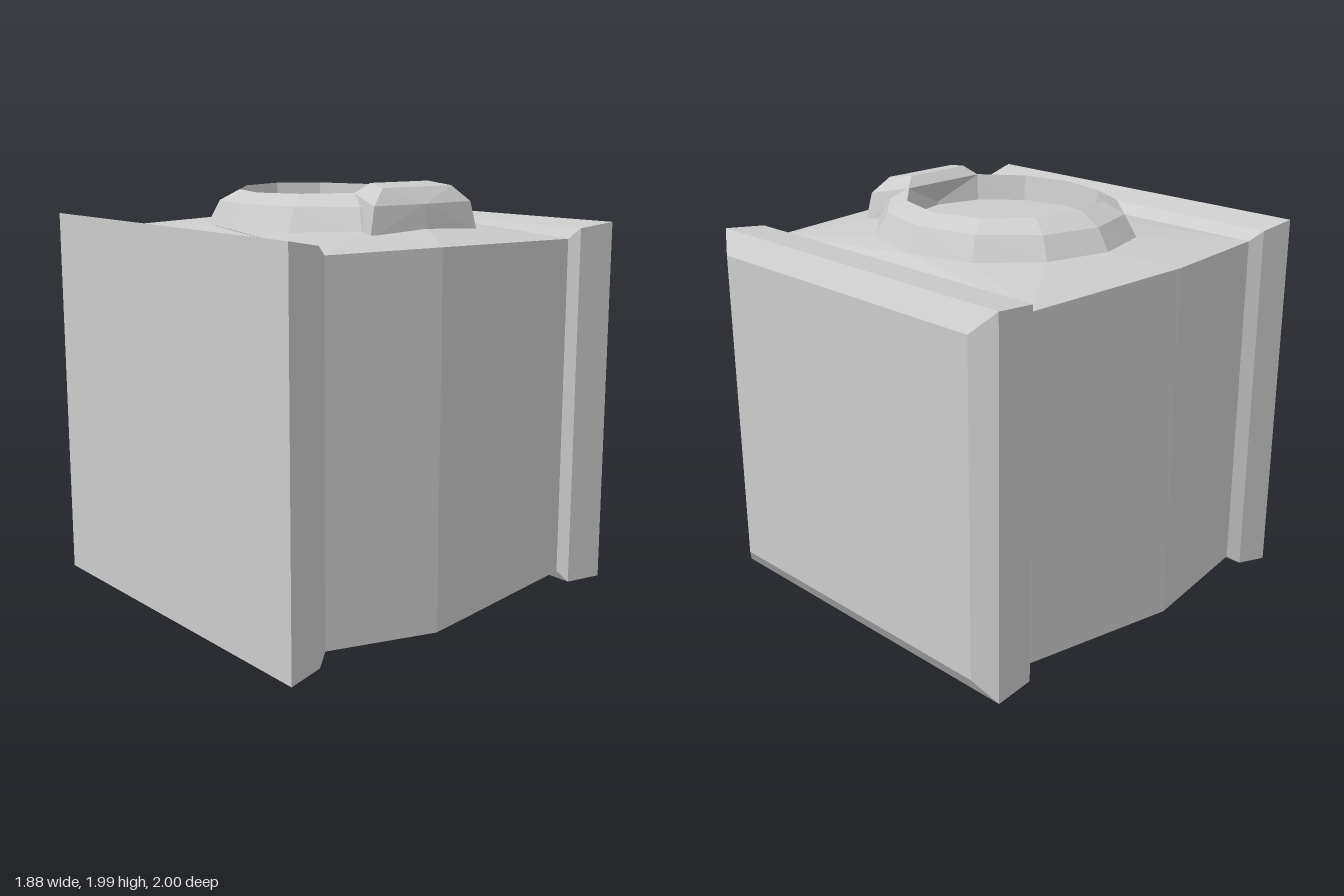
import * as THREE from 'three';
import { ConvexGeometry } from 'three/addons/geometries/ConvexGeometry.js';

const material = new THREE.MeshStandardMaterial({ color: 0xcccccc, flatShading: true });
const N = 12;
const CENTER_Z = 0.017;

// Mesh from a list of triangles, each given as three [x, y, z] corners
function triangleMesh(name, triangles) {
  const geometry = new THREE.BufferGeometry();
  geometry.setAttribute('position', new THREE.Float32BufferAttribute(triangles.flat(2), 3));
  geometry.computeVertexNormals();
  const mesh = new THREE.Mesh(geometry, material);
  mesh.name = name;
  return mesh;
}

// Twelve-sided oval loop around the opening; sideRise lifts its left and right ends
function loop(rx, rz, y, sideRise = 0) {
  return Array.from({ length: N }, (_, i) => {
    const a = (i / N) * Math.PI * 2;
    return [rx * Math.cos(a), y + sideRise * Math.cos(a) ** 2, CENTER_Z + rz * Math.sin(a)];
  });
}

// Box with flared end rims, lofted through rectangles from front to back
function buildBody() {
  // z, half width, bottom, top
  const sections = [
    [1, 0.94, 0, 1.815],
    [0.83, 0.91, 0.025, 1.785],
    [0.77, 0.87, 0.07, 1.74],
    [0.18, 0.925, 0.02, 1.74],
    [-0.69, 0.85, 0.09, 1.72],
    [-0.725, 0.895, 0.04, 1.77],
    [-0.93, 0.91, 0.03, 1.79],
    [-1, 0.81, 0.135, 1.69],
  ].map(([z, w, y0, y1]) => [[-w, y0, z], [w, y0, z], [w, y1, z], [-w, y1, z]]);

  const tris = [];
  for (let s = 0; s < sections.length - 1; s++) {
    for (let k = 0; k < 4; k++) {
      if (k === 2 && (s === 2 || s === 3)) continue; // closed by the top panel
      const j = (k + 1) % 4;
      const [f, b] = [sections[s], sections[s + 1]];
      tris.push([f[k], b[k], f[j]], [f[j], b[k], b[j]]);
    }
  }
  const front = sections[0];
  const back = sections[sections.length - 1];
  tris.push([front[0], front[1], front[2]], [front[0], front[2], front[3]]);
  tris.push([back[0], back[2], back[1]], [back[0], back[3], back[2]]);
  return triangleMesh('body', tris);
}

// Gently raised panel between the body edges and the collar
function buildTopPanel(ring) {
  const R = [0.925, 1.74, 0.18], FR = [0.87, 1.74, 0.77], BR = [0.85, 1.72, -0.69];
  const [L, FL, BL] = [R, FR, BR].map(([x, y, z]) => [-x, y, z]);
  const edge = [R, FR, FR, FR, FL, FL, L, BL, BL, BR, BR, BR];
  const tris = [];
  for (let i = 0; i < N; i++) {
    const j = (i + 1) % N;
    tris.push([ring[i], ring[j], edge[i]]);
    if (edge[i] !== edge[j]) tris.push([ring[j], edge[j], edge[i]]);
  }
  return triangleMesh('topPanel', tris);
}

// Bevelled collar with a shallow well
function buildCollar(base) {
  const loops = [base, loop(0.585, 0.545, 1.89), loop(0.48, 0.455, 1.937, 0.012), loop(0.465, 0.435, 1.82)];
  const tris = [];
  for (let r = 0; r < loops.length - 1; r++) {
    const [outer, inner] = [loops[r], loops[r + 1]];
    for (let i = 0; i < N; i++) {
      const j = (i + 1) % N;
      tris.push([inner[i], inner[j], outer[i]], [outer[i], inner[j], outer[j]]);
    }
  }
  const floor = loops[loops.length - 1];
  for (let i = 0; i < N; i++) tris.push([[0, 1.83, CENTER_Z], floor[(i + 1) % N], floor[i]]);
  return triangleMesh('collar', tris);
}

// Raised lip on the left side of the collar
function buildLip() {
  // x, y, front z, back z
  const points = [
    [0.5, 1.76, 0.3, -0.27],
    [0.635, 1.76, 0.335, -0.305],
    [0.625, 1.9, 0.305, -0.27],
    [0.58, 1.973, 0.22, -0.19],
    [0.46, 1.99, 0.19, -0.155],
    [0.415, 1.945, 0.245, -0.215],
  ].flatMap(([x, y, z0, z1]) => [new THREE.Vector3(x, y, z0), new THREE.Vector3(x, y, z1)]);
  points.push(new THREE.Vector3(0.645, 1.76, CENTER_Z), new THREE.Vector3(0.64, 1.9, CENTER_Z));
  const mesh = new THREE.Mesh(new ConvexGeometry(points), material);
  mesh.name = 'collarLip';
  return mesh;
}

export function createModel() {
  const group = new THREE.Group();
  group.name = 'container';
  const base = loop(0.645, 0.603, 1.775, 0.015);
  group.add(buildBody(), buildTopPanel(base), buildCollar(base), buildLip());
  return group;
}
